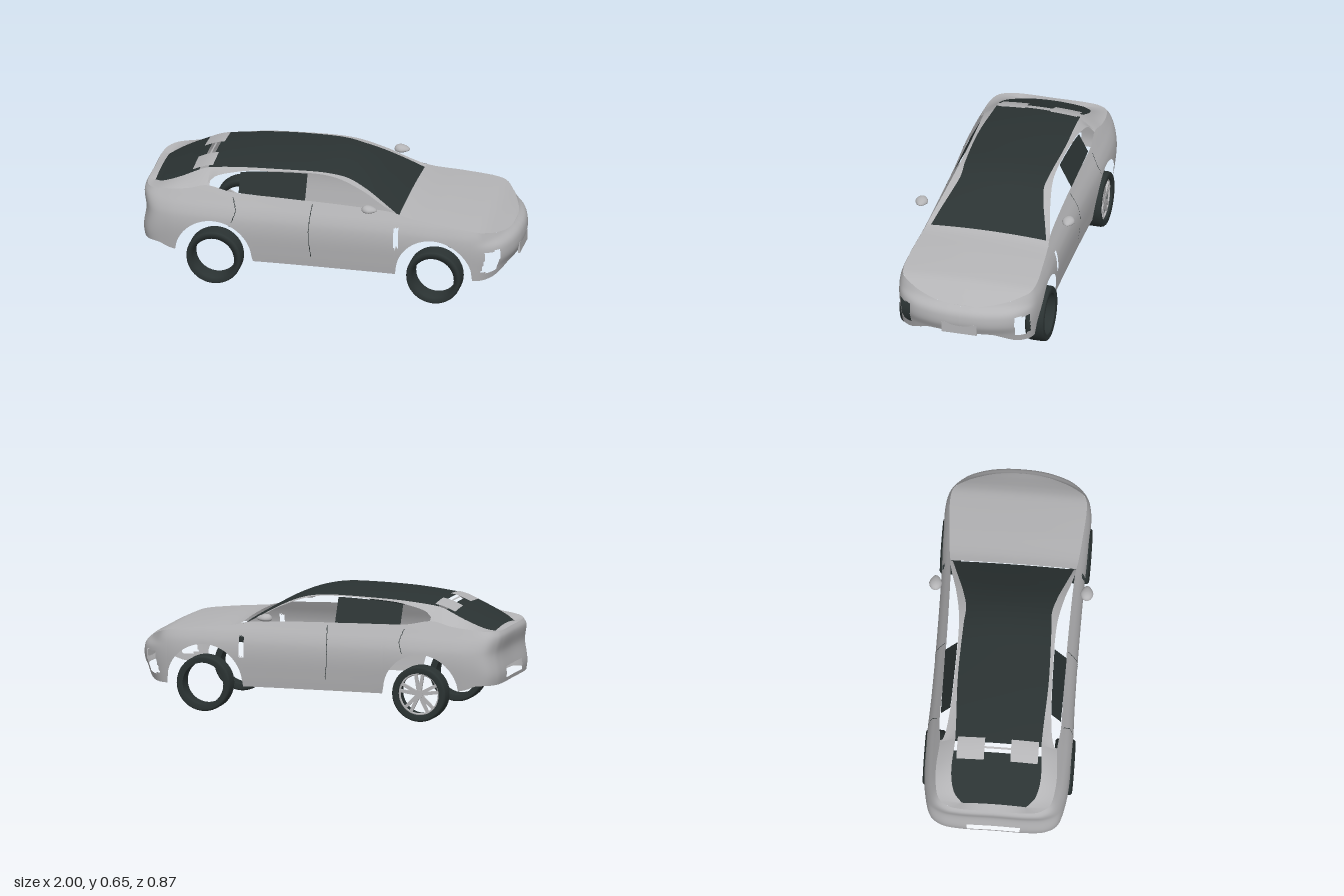
import * as THREE from 'three';

// Smooth interpolation through [x, value] pairs
function curve(pts) {
  const slope = pts.map((p, i) => {
    const a = pts[Math.max(i - 1, 0)], b = pts[Math.min(i + 1, pts.length - 1)];
    return (b[1] - a[1]) / (b[0] - a[0]);
  });
  return (x) => {
    if (x <= pts[0][0]) return pts[0][1];
    for (let i = 1; i < pts.length; i++) {
      if (x > pts[i][0]) continue;
      const [x0, y0] = pts[i - 1], [x1, y1] = pts[i], h = x1 - x0, t = (x - x0) / h;
      const t2 = t * t, t3 = t2 * t;
      return (2 * t3 - 3 * t2 + 1) * y0 + (t3 - 2 * t2 + t) * h * slope[i - 1]
        + (3 * t2 - 2 * t3) * y1 + (t3 - t2) * h * slope[i];
    }
    return pts[pts.length - 1][1];
  };
}

// Surface from fn(u, v) -> [x, y, z]; cells whose centre satisfies skip stay open
function grid(nu, nv, fn, skip = () => false) {
  const pos = [], index = [];
  for (let i = 0; i <= nu; i++) for (let j = 0; j <= nv; j++) pos.push(...fn(i / nu, j / nv));
  for (let i = 0; i < nu; i++) for (let j = 0; j < nv; j++) {
    if (skip(...fn((i + 0.5) / nu, (j + 0.5) / nv))) continue;
    const a = i * (nv + 1) + j, b = a + nv + 1;
    index.push(a, b, a + 1, b, b + 1, a + 1);
  }
  const g = new THREE.BufferGeometry();
  g.setAttribute('position', new THREE.Float32BufferAttribute(pos, 3));
  g.setIndex(index);
  g.computeVertexNormals();
  return g;
}

const mix = THREE.MathUtils.lerp, smooth = THREE.MathUtils.smoothstep;

// Half outline of the body seen from above, tail centre to nose centre
const plan = new THREE.CatmullRomCurve3([
  [-1, 0], [-1, 0.2], [-0.988, 0.28], [-0.95, 0.34], [-0.85, 0.372], [-0.6, 0.386], [-0.3, 0.378], [0, 0.375],
  [0.4, 0.378], [0.6, 0.386], [0.78, 0.382], [0.87, 0.352], [0.94, 0.28], [0.98, 0.18], [0.997, 0.08], [1, 0],
].map(([x, z]) => new THREE.Vector3(x, 0, z))).getSpacedPoints(640);
const planAt = (t) => {
  const f = Math.min(t, 0.99999) * 640, i = Math.floor(f);
  return plan[i].clone().lerp(plan[i + 1], f - i);
};
const tOf = (x) => plan.findIndex((p) => p.x >= x) / 640;

// Height-dependent tuck-in of the walls
const widthAt = curve([[0.13, 0.95], [0.2, 0.975], [0.3, 1], [0.37, 0.99], [0.42, 0.95], [0.47, 0.885], [0.5, 0.845], [0.54, 0.79]]);
const noseIn = curve([[0.13, 0.04], [0.2, 0.02], [0.25, 0], [0.3, 0], [0.33, 0.012], [0.36, 0.045], [0.42, 0.08]]);
const tailIn = curve([[0.17, 0.01], [0.25, 0], [0.36, 0.014], [0.45, 0], [0.49, 0.02]]);
function wall(t, y, out = 0) {
  const p = planAt(t), w = smooth(Math.abs(p.x), 0.78, 1);
  return [p.x - w * (p.x > 0 ? noseIn(y) : -tailIn(y)), y, p.z * widthAt(y) + out];
}

// Upper and lower edges of the walls
const beltLine = curve([[-1, 0.478], [-0.9, 0.49], [-0.75, 0.507], [-0.64, 0.53], [-0.5, 0.508], [-0.2, 0.5], [0.1, 0.493],
  [0.36, 0.481], [0.45, 0.462], [0.6, 0.448], [0.8, 0.424], [0.9, 0.404], [0.95, 0.385], [1, 0.355]]);
const noseBottom = curve([[0, 0.2], [0.17, 0.2], [0.24, 0.175], [0.3, 0.15], [0.36, 0.14]]);
const tailBottom = curve([[-1, 0.2], [-0.9, 0.2], [-0.85, 0.182], [-0.8, 0.17]]);
function bottomLine(p) {
  const d = Math.abs(Math.abs(p.x) - 0.595), R = 0.207;
  if (d < R) return Math.max(0.14, 0.152 + Math.sqrt(R * R - d * d));
  return p.x > 0.8 ? noseBottom(p.z) : p.x < -0.8 ? tailBottom(p.x) : 0.14;
}
const wallTop = (t) => wall(t, beltLine(planAt(t).x));

// Roof and glass: centre height, half width, window opening
const roofY = curve([[-0.95, 0.485], [-0.92, 0.495], [-0.8, 0.548], [-0.68, 0.602], [-0.6, 0.618], [-0.4, 0.637], [-0.12, 0.646],
  [0, 0.642], [0.1, 0.623], [0.2, 0.584], [0.3, 0.53], [0.405, 0.468]]);
const roofW = curve([[-0.95, 0.17], [-0.9, 0.215], [-0.8, 0.237], [-0.64, 0.228], [-0.3, 0.24], [0, 0.232], [0.1, 0.227],
  [0.2, 0.25], [0.3, 0.284], [0.405, 0.32]]);
const windowTop = curve([[-0.64, 0.54], [-0.6, 0.575], [-0.5, 0.602], [-0.4, 0.617], [-0.1, 0.63], [0.05, 0.618],
  [0.2, 0.566], [0.3, 0.514], [0.4, 0.468]]);
const canopy = (x, k, lift = 0) => [x, roofY(x) - 0.013 * k * k + lift, roofW(x) * k];
const sideGlassZ = (y) => 0.32 - (y - 0.5) * 0.5;

export function createModel() {
  const car = new THREE.Group();
  car.name = 'car';
  const paint = new THREE.MeshStandardMaterial({ color: 0xb4b4b6, side: THREE.DoubleSide });
  paint.name = 'silver paint';
  const dark = new THREE.MeshStandardMaterial({ color: 0x2b3333, side: THREE.DoubleSide });
  dark.name = 'dark glass and rubber';

  const add = (name, geo, mat, parent = car) => {
    const m = new THREE.Mesh(geo, mat);
    m.name = name;
    parent.add(m);
    return m;
  };
  const flip = (fn, s) => (u, v) => { const [x, y, z] = fn(u, v); return [x, y, z * s]; };

  // Openings: lamps, fender slit, rear plate recess
  const opening = (x, y, z) => {
    z = Math.abs(z);
    return (x > 0.84 && z > 0.285 && z < 0.352 && y > 0.185 && y < 0.305)
      || (x > 0.375 && x < 0.405 && y > 0.3 && y < 0.41)
      || (x < -0.97 && z < 0.14 && y > 0.215 && y < 0.275);
  };

  for (const s of [1, -1]) {
    const side = s > 0 ? 'left' : 'right';
    const both = (name, nu, nv, fn, mat, skip) => add(side + name, grid(nu, nv, flip(fn, s), skip), mat);

    both('BodySide', 400, 28, (u, v) => {
      const p = planAt(u);
      return wall(u, mix(bottomLine(p), beltLine(p.x), v));
    }, paint, opening);

    // Bonnet half, from the fender edge to the centre line
    const t0 = tOf(0.4);
    both('Bonnet', 60, 12, (u, v) => {
      const [x, y, z] = wallTop(mix(t0, 1, u));
      return [x, y + 0.013 * (1 - (1 - v) ** 2) * (1 - u * u), z * (1 - v)];
    }, paint);

    // Rear shoulder and pillar around the back glass
    const t1 = tOf(-0.63);
    both('RearShoulder', 80, 6, (u, v) => {
      const [x, y, z] = wallTop(t1 * u), gx = Math.max(x, -0.95), w = roofW(gx);
      const k = Math.min(z / w, 1), g = canopy(gx, k);
      return [mix(x, g[0], v), mix(y, g[1], v), mix(z, g[2], v)];
    }, paint);

    // Frame between roof and side windows
    both('RoofRail', 60, 3, (u, v) => {
      const x = mix(-0.64, 0.405, u), a = canopy(x, 1), y = windowTop(x);
      return [x, mix(a[1], y, v), mix(a[2], Math.max(sideGlassZ(y), a[2] + 0.006), v)];
    }, paint);

    both('RearDoorWindow', 20, 4, (u, v) => {
      const x = mix(-0.47, -0.11, u), y = mix(beltLine(x), windowTop(x) - 0.004, v);
      return [x, y, sideGlassZ(y)];
    }, dark);

    // Door gaps
    for (const [x, lean] of [[-0.07, 0.012], [-0.5, -0.02]]) {
      both('DoorGap', 1, 16, (u, v) => {
        const y = mix(x < -0.2 ? 0.36 : 0.2, 0.485, v);
        return wall(tOf(x - lean * Math.sin(v * Math.PI)) + (u - 0.5) * 0.0013, y, 0.0015);
      }, dark);
    }

    // Bracket bridging the gap between back glass and roof
    both('RoofBracket', 6, 4, (u, v) => {
      const x = mix(-0.74, -0.63, u);
      return canopy(x, mix(0.07, 0.215, v) / roofW(x), 0.005);
    }, paint);

    // Mirror: dome with a flat underside, narrowing forwards
    const mirror = new THREE.SphereGeometry(1, 24, 16);
    const mp = mirror.attributes.position;
    for (let i = 0; i < mp.count; i++) {
      const x = mp.getX(i), y = mp.getY(i), taper = 1 - 0.3 * x;
      mp.setXYZ(i, 0.255 + 0.042 * x, 0.515 + (y > 0 ? 0.024 : 0.015) * y * taper,
        s * (0.4 + 0.034 * mp.getZ(i) * Math.min(taper, 1)));
    }
    mirror.computeVertexNormals();
    add(side + 'Mirror', mirror, paint);

    // Tyres
    for (const x of [-0.59, 0.597]) {
      const profile = [[0.112, -0.047], [0.137, -0.052], [0.145, -0.045], [0.148, -0.034], [0.148, 0.034],
        [0.145, 0.045], [0.137, 0.052], [0.112, 0.047], [0.112, -0.047]].map(([r, y]) => new THREE.Vector2(r, y));
      const tyre = add(side + (x > 0 ? 'FrontTyre' : 'RearTyre'), new THREE.LatheGeometry(profile, 56), dark);
      tyre.rotation.x = Math.PI / 2;
      tyre.position.set(x, 0.148, s * 0.342);
    }
  }

  // Roof, windscreen and back glass
  const panel = (name, x0, x1) =>
    add(name, grid(40, 24, (u, v) => canopy(mix(x0, x1, u), mix(-1, 1, v))), dark);
  panel('roofPanel', -0.652, 0.12);
  panel('windscreen', 0.12, 0.405);
  panel('backGlass', -0.95, -0.7);
  add('roofGapStrip', grid(1, 6, (u, v) => canopy(mix(-0.682, -0.672, u), mix(-0.35, 0.35, v))), paint);

  // Front plate
  add('frontPlate', new THREE.BoxGeometry(0.01, 0.06, 0.19), paint).position.set(0.995, 0.235, 0);

  // Single alloy rim on the right rear wheel
  const rim = new THREE.Group();
  rim.name = 'rightRearRim';
  rim.position.set(-0.59, 0.148, -0.372);
  add('rimRing', new THREE.TorusGeometry(0.108, 0.006, 8, 48), paint, rim);
  add('rimHub', new THREE.CylinderGeometry(0.022, 0.022, 0.016, 20), paint, rim).rotation.x = Math.PI / 2;
  const spoke = new THREE.Shape([[-0.012, 0.01], [-0.028, 0.108], [-0.012, 0.11], [0, 0.05], [0.012, 0.11],
    [0.028, 0.108], [0.012, 0.01]].map(([x, y]) => new THREE.Vector2(x, y)));
  const spokeGeo = new THREE.ExtrudeGeometry(spoke, { depth: 0.012, bevelEnabled: false });
  for (let i = 0; i < 5; i++) {
    const m = add('rimSpoke', spokeGeo, paint, rim);
    m.rotation.z = (i / 5) * Math.PI * 2;
    m.position.z = -0.006;
  }
  car.add(rim);
  return car;
}
